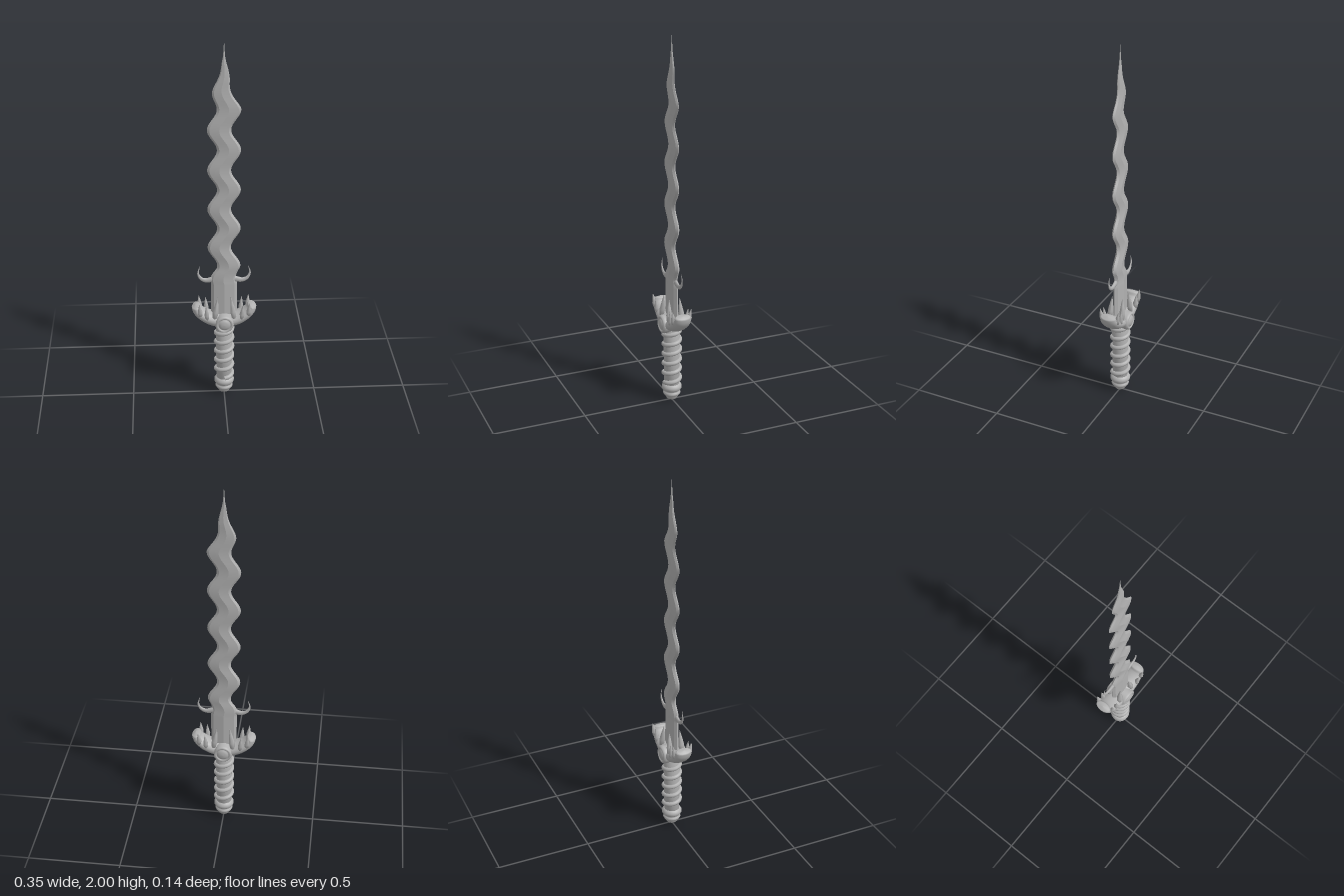
import * as THREE from 'three';

const steel = new THREE.MeshStandardMaterial({ color: 0xb2b2b2 });
steel.name = 'grey steel';

// Piecewise-linear lookup in [key, value] pairs
function lookup(table, k) {
  for (let i = 1; i < table.length; i++) {
    if (k <= table[i][0]) {
      const [a, va] = table[i - 1], [b, vb] = table[i];
      return va + (vb - va) * Math.max(0, (k - a) / (b - a));
    }
  }
  return table[table.length - 1][1];
}

function build(positions, index) {
  const g = new THREE.BufferGeometry();
  g.setAttribute('position', new THREE.Float32BufferAttribute(positions, 3));
  g.setIndex(index);
  g.computeVertexNormals();
  return g;
}

// Elliptical sweep along a curve in the xy plane; size(t) gives [in-plane radius, z radius]
function sweep(points, size, steps, sides) {
  const curve = new THREE.CatmullRomCurve3(points.map(([x, y]) => new THREE.Vector3(x, y, 0)));
  const pos = [], index = [];
  for (let i = 0; i <= steps; i++) {
    const t = i / steps, p = curve.getPoint(t), d = curve.getTangent(t), [r, rz] = size(t);
    for (let j = 0; j < sides; j++) {
      const a = (j / sides) * Math.PI * 2, c = Math.cos(a) * r;
      pos.push(p.x - d.y * c, p.y + d.x * c, Math.sin(a) * rz);
      if (i < steps) {
        const k = i * sides + j, n = i * sides + ((j + 1) % sides);
        index.push(k, n, k + sides, n, n + sides, k + sides);
      }
    }
  }
  return build(pos, index);
}

// Wavy blade: ridged section with bevelled edges, each strip smooth along its length
function bladeGeometry() {
  const halfWidth = [[0.46, 0.069], [0.7, 0.069], [0.76, 0.061], [1.66, 0.061], [1.74, 0.049],
    [1.79, 0.035], [1.85, 0.021], [1.93, 0.005], [2, 0.0006]];
  const wave = [[0.68, 0], [0.77, 0.025], [1.66, 0.025], [1.75, 0.014], [1.84, 0.004], [1.9, 0]];
  const thick = [[0.46, 0.023], [0.7, 0.021], [1.2, 0.017], [1.8, 0.011], [1.93, 0.004], [2, 0.0006]];
  const section = [[1, 0], [0.8, -0.6], [0, -1], [-0.8, -0.6], [-1, 0], [-0.8, 0.6], [0, 1], [0.8, 0.6]];
  const rows = 140, pos = [], index = [];
  section.forEach((s, j) => {
    const next = section[(j + 1) % section.length], base = pos.length / 3;
    for (let i = 0; i <= rows; i++) {
      const y = 0.46 + (1.54 * i) / rows;
      const w = lookup(halfWidth, y), z = lookup(thick, y);
      const c = lookup(wave, y) * Math.cos((Math.PI * 2 * (y - 1.656)) / 0.218);
      pos.push(c + s[0] * w, y, s[1] * z, c + next[0] * w, y, next[1] * z);
      if (i < rows) {
        const k = base + i * 2;
        index.push(k, k + 1, k + 2, k + 1, k + 3, k + 2);
      }
    }
  });
  return build(pos, index);
}

export function createModel() {
  const group = new THREE.Group();
  const add = (name, geometry) => {
    const mesh = new THREE.Mesh(geometry, steel);
    mesh.name = name;
    group.add(mesh);
    return mesh;
  };
  const lathe = (profile, n) => new THREE.LatheGeometry(profile.map(([x, y]) => new THREE.Vector2(x, y)), n);

  add('blade', bladeGeometry());

  // Upturned crossguard with blunt rounded ends
  const arm = [[0.06, 0.468], [0.11, 0.492], [0.14, 0.52], [0.153, 0.553]];
  const guardPath = [...arm.map(([x, y]) => [-x, y]).reverse(), [0, 0.46], ...arm];
  const guardSize = t => {
    const u = Math.abs(t * 2 - 1);
    const cap = u > 0.94 ? Math.sqrt(Math.max(0.0001, 1 - ((u - 0.94) / 0.06) ** 2)) : 1;
    return [(0.042 - 0.019 * u) * cap, (0.057 - 0.015 * u * u) * cap];
  };
  add('crossguard', sweep(guardPath, guardSize, 64, 16));

  for (const side of [-1, 1]) {
    // Curled hooks at the base of the waves
    const hook = [[0.055, 0.705], [0.095, 0.697], [0.123, 0.71], [0.137, 0.74], [0.128, 0.78]];
    add('bladeHook', sweep(hook.map(([x, y]) => [x * side, y]),
      t => [0.0165 * (1 - t) + 0.0008, 0.009 * (1 - t) + 0.0008], 20, 10));

    // Thorns along both faces of the guard: base x, y, z, tip x, y, z, radius
    for (const face of [-1, 1]) {
      for (const [x, y, z, tx, ty, tz, r] of [
        [0.052, 0.485, 0.036, 0.034, 0.61, 0.03, 0.017],
        [0.092, 0.485, 0.044, 0.098, 0.57, 0.052, 0.014],
        [0.128, 0.505, 0.042, 0.134, 0.58, 0.054, 0.014]]) {
        const base = new THREE.Vector3(x * side, y, z * face);
        const axis = new THREE.Vector3(tx * side, ty, tz * face).sub(base);
        const length = axis.length();
        const thorn = add('guardThorn', lathe(
          [[0, 0], [r * 0.8, 0], [r, length * 0.3], [r * 0.55, length * 0.65], [0, length]], 6));
        thorn.position.copy(base);
        thorn.quaternion.setFromUnitVectors(new THREE.Vector3(0, 1, 0), axis.normalize());
      }
    }
  }

  // Round boss with a raised rim and domed centre, front and back
  for (const face of [-1, 1]) {
    const boss = add('guardBoss', lathe(
      [[0.05, 0], [0.05, 0.052], [0.046, 0.062], [0.04, 0.066], [0.034, 0.062], [0.032, 0.058],
        [0.028, 0.064], [0.016, 0.069], [0, 0.07]], 28));
    boss.position.y = 0.455;
    boss.rotation.x = face * Math.PI / 2;
  }

  // Grip core and pommel
  add('grip', lathe([[0, 0.09], [0.041, 0.09], [0.043, 0.25], [0.045, 0.44], [0, 0.44]], 24));
  add('pommel', lathe([[0, 0], [0.014, 0.002], [0.027, 0.009], [0.034, 0.02], [0.035, 0.03],
    [0.044, 0.034], [0.048, 0.042], [0.044, 0.051], [0.038, 0.056], [0.048, 0.062], [0.054, 0.072],
    [0.054, 0.084], [0.047, 0.094], [0.04, 0.098]], 28));

  // Spiral cord around the grip
  const cord = [], turns = 5.6;
  for (let i = 0; i <= turns * 12; i++) {
    const a = (i / 12) * Math.PI * 2;
    cord.push(new THREE.Vector3(Math.sin(a) * 0.044, 0.108 + (i / 12) * 0.0565, Math.cos(a) * 0.044));
  }
  add('gripCord', new THREE.TubeGeometry(new THREE.CatmullRomCurve3(cord), 220, 0.0125, 8));

  return group;
}
